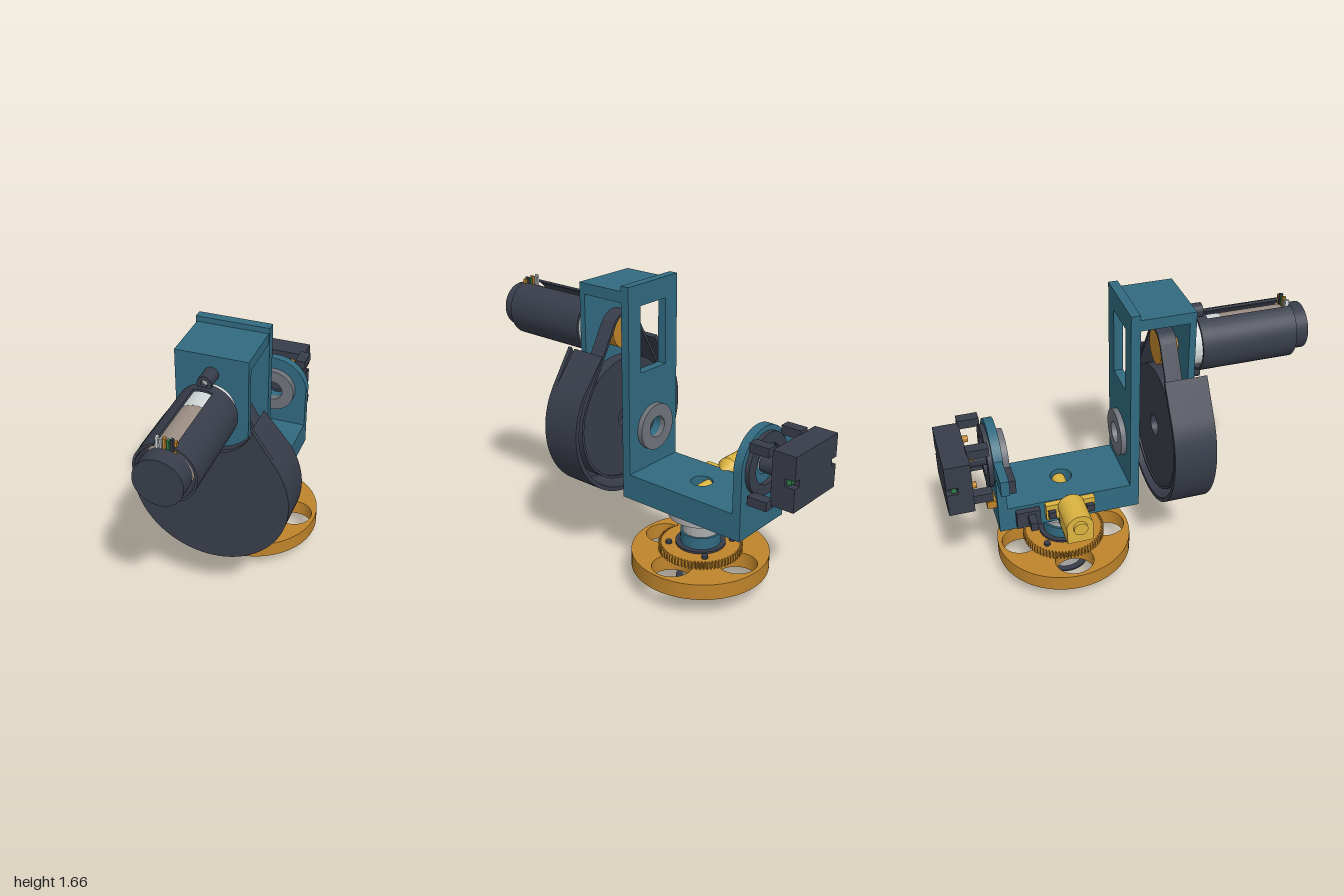
import * as THREE from 'three';
import { toCreasedNormals } from 'three/addons/utils/BufferGeometryUtils.js';

const mat = (name, hex) => {
  const m = new THREE.MeshStandardMaterial({ color: hex });
  m.name = name;
  return m;
};

export function createModel() {
  const root = new THREE.Group();
  root.name = 'gimbalMount';
  const teal = mat('teal', 0x316a80), dark = mat('charcoal', 0x383d4a), orange = mat('orange', 0xbf842b),
    yellow = mat('yellow', 0xdcb440), silver = mat('silver', 0xadadaf), steel = mat('steel', 0x6f737a),
    beige = mat('beige', 0x9c8f85), green = mat('green', 0x2c7d48), white = mat('white', 0xd2d8d8);
  const PI = Math.PI, CX = 0.005, SZ = -0.35;

  // Helpers
  const add = (name, geo, m) => {
    const mesh = new THREE.Mesh(geo, m);
    mesh.name = name;
    root.add(mesh);
    return mesh;
  };
  const box = (name, m, x0, x1, y0, y1, z0, z1) =>
    add(name, new THREE.BoxGeometry(x1 - x0, y1 - y0, z1 - z0)
      .translate((x0 + x1) / 2, (y0 + y1) / 2, (z0 + z1) / 2), m);
  const extrude = (shape, depth) => toCreasedNormals(
    new THREE.ExtrudeGeometry(shape, { depth, bevelEnabled: false, curveSegments: 40 }), 0.5);
  const hole = (shape, x, y, r) => {
    shape.holes.push(new THREE.Path().absarc(x, y, r, 0, 2 * PI, true));
    return shape;
  };
  const ring = (r, ri) => {
    const s = new THREE.Shape().absarc(0, 0, r, 0, 2 * PI, false);
    return ri ? hole(s, 0, 0, ri) : s;
  };
  const rect = (x0, x1, y0, y1) => new THREE.Shape([[x0, y0], [x1, y0], [x1, y1], [x0, y1]]
    .map(p => new THREE.Vector2(...p)));
  // shape in the x-y plane, extruded from z0 to z1
  const alongZ = (name, m, shape, z0, z1, x = CX, y = 0) =>
    add(name, extrude(shape, z1 - z0).translate(x, y, z0), m);
  // shape in the x-z plane, extruded from y0 to y1
  const alongY = (name, m, shape, y0, y1, x = CX, z = SZ) =>
    add(name, extrude(shape, y1 - y0).rotateX(-PI / 2).translate(x, y0, z), m);
  const rodX = (name, m, r0, r1, x0, x1, y, z) =>
    add(name, new THREE.CylinderGeometry(r1, r0, x1 - x0, 28).rotateZ(-PI / 2)
      .translate((x0 + x1) / 2, y, z), m);

  // Bracket: base, tall front upright, rounded rear upright
  alongY('bracketBase', teal, hole(rect(-0.195, 0.195, -0.39, 0.39), 0, 0, 0.06), 0.475, 0.62);
  const upright = hole(rect(-0.195, 0.195, 0.475, 1.66), 0, 0.85, 0.06);
  upright.holes.push(new THREE.Path([[-0.1, 1.18], [-0.1, 1.545], [0.1, 1.545], [0.1, 1.18]]
    .map(p => new THREE.Vector2(...p))));
  alongZ('frontUpright', teal, upright, -0.01, 0.04);
  const arch = new THREE.Shape().moveTo(-0.195, 0.6).lineTo(0.195, 0.6).lineTo(0.195, 0.85);
  arch.absarc(0, 0.85, 0.198, 0, PI, false);
  alongZ('rearUpright', teal, hole(arch, 0, 0.85, 0.06), -0.74, -0.69);

  // Motor support: top shelf and hanging plate with a rounded lower end
  box('topShelf', teal, -0.185, 0.195, 1.57, 1.63, 0.04, 0.335);
  const a = Math.acos(0.19 / 0.24);
  const hanger = new THREE.Shape().moveTo(0.19, 1.63).lineTo(-0.19, 1.63);
  hanger.absarc(0, 1.35, 0.24, PI + a, 2 * PI - a, false);
  alongZ('motorPlate', teal, hanger, 0.3, 0.335);

  // Bearings facing each other on the uprights
  alongZ('frontBearing', steel, ring(0.13, 0.06), -0.04, -0.01, CX, 0.85);
  alongZ('rearBearing', steel, ring(0.13, 0.06), -0.69, -0.65, CX, 0.85);

  // Belt guard: teardrop tray, scooped out around the motor
  const tangent = (r, x, y) => Math.atan2(y - 0.85, x) - Math.acos(r / Math.hypot(x, y - 0.85));
  const tx = 0.23, ty = 1.275, t0 = tangent(0.428, tx, ty);
  const front = new THREE.Shape().moveTo(tx, ty);
  front.absarc(0, 0.85, 0.428, t0, PI - t0, true);
  front.lineTo(-tx, ty);
  const c = Math.atan2(ty - 1.35, tx);
  front.absarc(0, 1.35, Math.hypot(tx, ty - 1.35), PI - c, 2 * PI + c, false);
  alongZ('guardFace', dark, front, 0.365, 0.39);
  const ix = 0.212, iy = 1.262, t1 = tangent(0.405, ix, iy);
  const rim = new THREE.Shape().moveTo(tx, ty);
  rim.absarc(0, 0.85, 0.428, t0, PI - t0, true);
  rim.lineTo(-tx, ty).lineTo(-ix, iy);
  rim.absarc(0, 0.85, 0.405, PI - t1, 2 * PI + t1, false);
  rim.lineTo(ix, iy);
  alongZ('guardRim', dark, rim, 0.16, 0.365);

  // Belt and pulleys
  const loop = (path, d) => path.absarc(0, 1.35, 0.11 - d, PI / 6, PI * 5 / 6, false)
    .absarc(0, 0.85, 0.36 - d, PI * 5 / 6, PI * 13 / 6, false);
  const belt = loop(new THREE.Shape(), 0);
  belt.holes.push(loop(new THREE.Path(), 0.015));
  alongZ('belt', dark, belt, 0.18, 0.27);
  alongZ('largePulley', dark, ring(0.345, 0.06), 0.19, 0.26, CX, 0.85);
  alongZ('smallPulley', orange, ring(0.095), 0.185, 0.265, CX, 1.35);
  alongZ('pulleyHub', orange, ring(0.04), 0.265, 0.3, CX, 1.35);

  // Drive motor inside a slotted sleeve
  alongZ('motorNose', white, ring(0.125), 0.335, 0.54, CX, 1.35);
  alongZ('motorBody', beige, ring(0.124), 0.54, 0.9, CX, 1.35);
  alongZ('motorCap', dark, ring(0.125), 0.9, 1.0, CX, 1.35);
  alongZ('sleeveCollar', dark, ring(0.158, 0.145), 0.395, 0.45, CX, 1.35);
  const slot = 0.32, sleeve = new THREE.Shape();
  sleeve.absarc(0, 0, 0.158, PI / 2 + slot, PI * 2.5 - slot, false);
  sleeve.absarc(0, 0, 0.145, PI * 2.5 - slot, PI / 2 + slot, true);
  alongZ('motorSleeve', dark, sleeve, 0.45, 0.92, CX, 1.35);
  for (const y of [1.53, 1.17]) {
    alongZ('sleeveLug', dark, ring(0.038, 0.018), 0.335, 0.43, CX, y);
    alongZ('lugScrew', silver, ring(0.018), 0.335, 0.41, CX, y);
  }
  [white, silver, orange, green, dark, orange].forEach((m, i) =>
    box('wire', m, -0.038 + i * 0.018, -0.026 + i * 0.018, 1.46, 1.53 - (i % 2) * 0.008, 0.89, 0.91));

  // Vertical hollow shaft: colour, radius, bottom, top
  const shaft = [
    ['bottomCap', silver, 0.1, 0, 0.022], ['lowerClip', dark, 0.134, 0.022, 0.032],
    ['lowerSleeve', silver, 0.1, 0.032, 0.11], ['lowerSpacer', teal, 0.112, 0.11, 0.12],
    ['hubClip', dark, 0.138, 0.25, 0.262], ['hubSpacer', teal, 0.112, 0.262, 0.33],
    ['upperSleeve', silver, 0.1, 0.33, 0.4], ['upperSpacer', teal, 0.112, 0.4, 0.43],
    ['mountFlange', silver, 0.18, 0.43, 0.475]];
  for (const [name, m, r, y0, y1] of shaft) alongY(name, m, ring(r, 0.06), y0, y1);

  // Base wheel with four round openings, and the toothed gear on it
  const wheel = ring(0.38, 0.06);
  for (let i = 0; i < 4; i++) hole(wheel, 0.25 * Math.cos(i * PI / 2), 0.25 * Math.sin(i * PI / 2), 0.108);
  alongY('baseWheel', orange, wheel, 0.12, 0.21);
  const teeth = [];
  for (let i = 0; i < 72; i++) {
    [[0, 0.214], [0.25, 0.232], [0.5, 0.232], [0.75, 0.214]].forEach(([f, r]) => {
      const t = (i + f) / 72 * 2 * PI;
      teeth.push(new THREE.Vector2(r * Math.cos(t), r * Math.sin(t)));
    });
  }
  alongY('gear', orange, hole(new THREE.Shape(teeth), 0, 0, 0.06), 0.21, 0.25);
  for (let i = 0; i < 4; i++) {
    const t = PI / 4 + i * PI / 2;
    alongY('gearScrew', dark, ring(0.018), 0.25, 0.265, CX + 0.175 * Math.cos(t), SZ + 0.175 * Math.sin(t));
  }

  // Small yellow side motor with its pin reaching the shaft centre
  rodX('sideMotor', yellow, 0.073, 0.073, -0.42, -0.23, 0.597, -0.355);
  box('sideMotorBase', yellow, -0.42, -0.25, 0.5, 0.58, -0.425, -0.285);
  rodX('sideMotorNub', yellow, 0.038, 0.038, -0.44, -0.42, 0.6, -0.355);
  rodX('sideMotorCone', yellow, 0.07, 0.02, -0.23, -0.17, 0.6, -0.355);
  rodX('sideMotorPin', yellow, 0.037, 0.037, -0.19, 0.045, 0.57, -0.357);
  box('sideMotorFlange', yellow, -0.225, -0.19, 0.52, 0.615, -0.49, -0.22);
  box('sideMotorShelf', teal, -0.33, -0.19, 0.475, 0.5, -0.42, -0.29);
  for (const z of [-0.46, -0.25]) box('flangeScrew', dark, -0.25, -0.225, 0.545, 0.585, z - 0.02, z + 0.02);

  // Position sensors on the base side and on an arm of the rear upright
  box('baseSensor', dark, -0.225, -0.19, 0.5, 0.6, -0.65, -0.52);
  box('baseSensorHead', dark, -0.3, -0.225, 0.53, 0.58, -0.59, -0.55);
  box('sensorArm', teal, -0.35, -0.17, 0.84, 0.93, -0.74, -0.695);
  box('armSensor', dark, -0.34, -0.22, 0.84, 0.92, -0.695, -0.66);

  // Rear actuator: mounting ring, stand-offs, notched case and brass screws
  alongZ('actuatorRing', dark, ring(0.17, 0.11), -0.765, -0.74, CX, 0.85);
  alongZ('actuatorHub', dark, ring(0.05), -0.87, -0.74, CX, 0.85);
  for (const x of [-0.14, 0.14]) for (const y of [0.705, 0.995]) {
    box('standOff', dark, x - 0.03, x + 0.03, y - 0.025, y + 0.025, -0.87, -0.755);
  }
  box('actuatorCase', dark, -0.21, 0.09, 0.7, 1.0, -1.0, -0.865);
  for (const x of [-0.25, 0.09]) {
    for (const y of [0.7, 0.87]) box('caseEnd', dark, x, x + 0.04, y, y + 0.13, -1.0, -0.865);
    box('caseEndWeb', dark, x, x + 0.04, 0.83, 0.87, -0.94, -0.865);
  }
  rodX('greenPlug', green, 0.015, 0.015, -0.245, -0.2, 0.85, -0.96);
  rodX('greenPlug', green, 0.015, 0.015, 0.085, 0.12, 0.85, -0.96);
  for (const x of [-0.11, 0.06]) for (const y of [0.76, 0.94]) {
    alongZ('brassScrew', orange, ring(0.018), -0.87, -0.83, x, y);
  }
  box('brassPlug', orange, -0.16, -0.07, 0.62, 0.665, -0.79, -0.74);
  return root;
}
